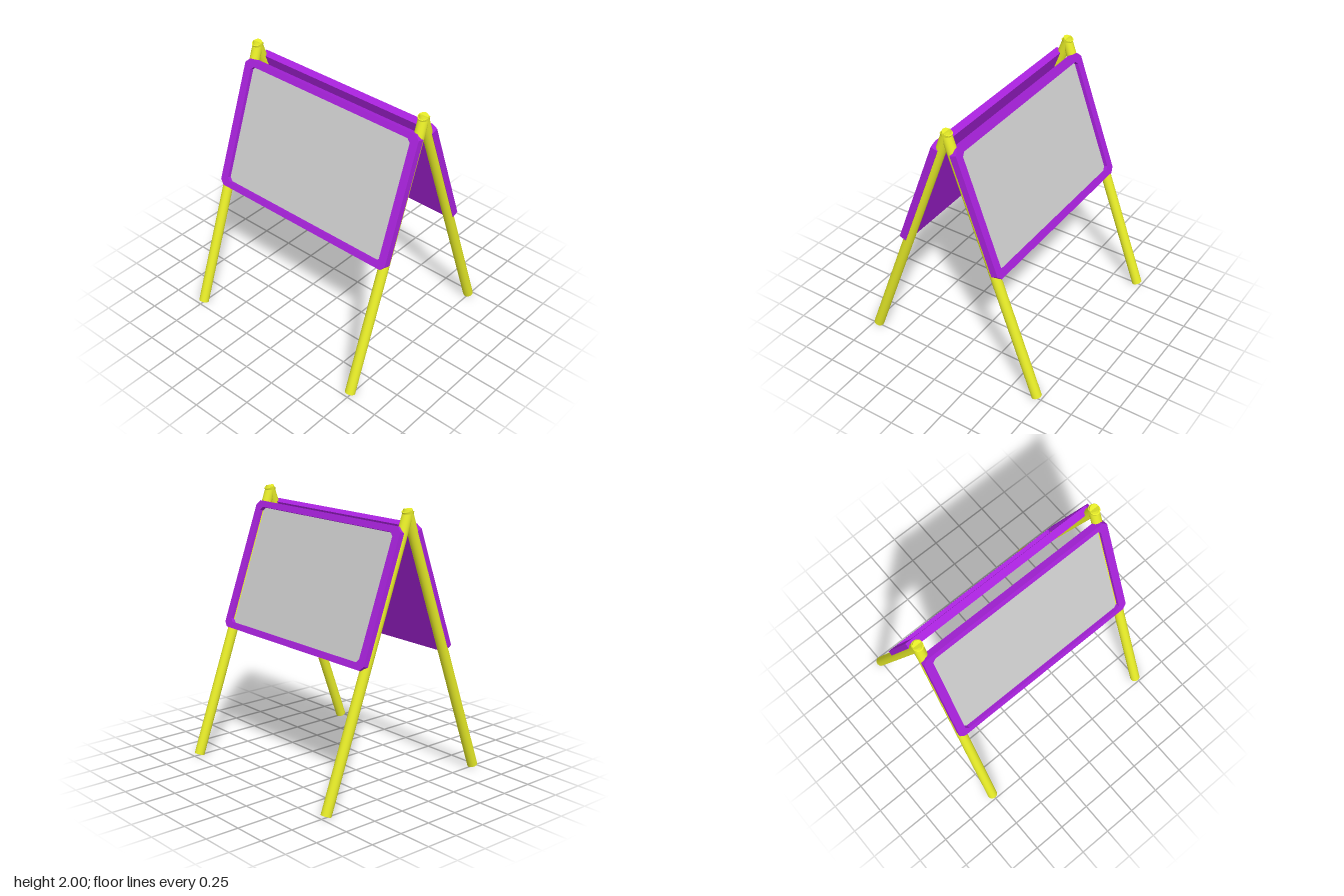
import * as THREE from 'three';

const yellow = new THREE.MeshStandardMaterial({ color: 0xe6eb28 });
const purple = new THREE.MeshStandardMaterial({ color: 0xa822dc });
const grey = new THREE.MeshStandardMaterial({ color: 0xcccccc });

const TILT = THREE.MathUtils.degToRad(20);

// Points of a rectangle with chamfered corners, centred on the origin
function chamfered(w, h, c) {
  const x = w / 2, y = h / 2;
  return [
    [x - c, -y], [x, -y + c], [x, y - c], [x - c, y],
    [-x + c, y], [-x, y - c], [-x, -y + c], [-x + c, -y],
  ].map(([a, b]) => new THREE.Vector2(a, b));
}

function slab(name, outline, hole, depth, material, z) {
  const shape = new THREE.Shape(outline);
  if (hole) shape.holes.push(new THREE.Path(hole));
  const geometry = new THREE.ExtrudeGeometry(shape, { depth, bevelEnabled: false });
  const mesh = new THREE.Mesh(geometry, material);
  mesh.name = name;
  mesh.position.set(0, 1.254, z);
  return mesh;
}

// One leaning half: local y runs up the slope, local z is its outward normal
function createHalf(name, facing) {
  const half = new THREE.Group();
  half.name = name;

  // Round legs, crossing those of the other half at the top
  for (const x of [-0.75, 0.742]) {
    const leg = new THREE.Mesh(new THREE.CylinderGeometry(0.0375, 0.0375, 2.1, 32), yellow);
    leg.name = 'leg';
    leg.position.set(x * facing, 0.82, 0.672);
    half.add(leg);
  }

  // Board: solid back, raised rim and recessed writing surface
  const outer = chamfered(1.566, 0.984, 0.034);
  const opening = chamfered(1.442, 0.892, 0.025);
  half.add(
    slab('boardBack', outer, null, 0.02, purple, 0.674),
    slab('boardRim', outer, opening, 0.034, purple, 0.694),
    slab('writingSurface', opening, null, 0.005, grey, 0.694),
  );

  half.rotation.set(-TILT, facing > 0 ? 0 : Math.PI, 0, 'YXZ');
  return half;
}

export function createModel() {
  const model = new THREE.Group();
  model.name = 'doubleSidedEasel';
  model.add(createHalf('frontHalf', 1), createHalf('backHalf', -1));
  return model;
}
